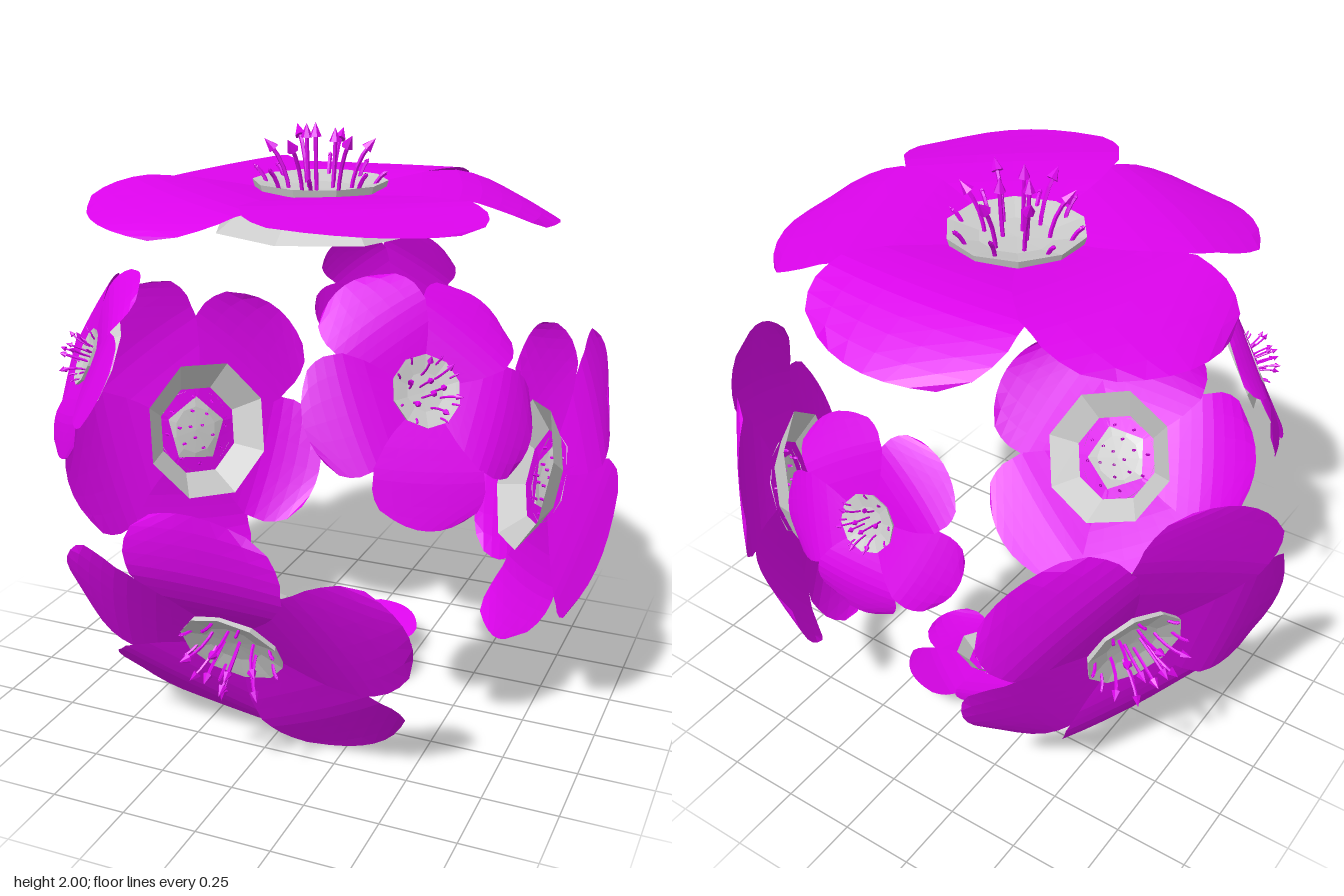
import * as THREE from 'three';

const magenta = new THREE.MeshStandardMaterial({ color: 0xdd04ec, flatShading: true, side: THREE.DoubleSide });
const grey = new THREE.MeshStandardMaterial({ color: 0xcccccc, flatShading: true, side: THREE.DoubleSide });

function mesh(name, geometry, material) {
  const m = new THREE.Mesh(geometry, material);
  m.name = name;
  return m;
}

// piecewise-linear lookup through a few [t, value] points
function sample(points, t) {
  for (let i = 1; i < points.length; i++) {
    const [a, va] = points[i - 1], [b, vb] = points[i];
    if (t <= b) return va + (vb - va) * (t - a) / (b - a);
  }
  return points[points.length - 1][1];
}

const WIDTH = [[0, 0.32], [0.25, 0.72], [0.5, 0.97], [0.7, 1], [0.85, 0.94], [0.95, 0.8], [1, 0.62]];
const ARCH = [[0, 0], [0.3, 0.025], [0.55, 0.035], [0.75, 0.02], [1, 0]];

// a broad blunt petal pointing to -z, arched along its length and drooping at the tip
function petalGeometry(length, halfWidth, droop) {
  const g = new THREE.PlaneGeometry(1, 1, 6, 10);
  const p = g.attributes.position;
  for (let i = 0; i < p.count; i++) {
    const u = p.getX(i) * 2, v = p.getY(i) + 0.5;
    const r = 0.14 + (length - 0.14) * v - 0.06 * u * u * v * v;
    const y = sample(ARCH, v) - droop * v ** 3 + 0.015 * u * v;
    p.setXYZ(i, u * halfWidth * sample(WIDTH, v), y, -r);
  }
  g.computeVertexNormals();
  return g;
}

// length, half width and tip droop of the five petals
const PETALS = [
  [0.75, 0.34, 0.1], [0.78, 0.345, 0.09], [0.78, 0.36, 0.04], [0.82, 0.365, 0], [0.78, 0.345, 0.09],
];
const petalGeometries = PETALS.map((p) => petalGeometry(...p));

// one curved stamen with a pointed head, leaning outward along +x
function stamen(r0, r1, height, headScale) {
  const g = new THREE.Group();
  g.name = 'stamen';
  const root = new THREE.Vector3(r0, -0.025, 0);
  const bend = new THREE.Vector3(r0 + 0.01, height * 0.55, 0);
  const top = new THREE.Vector3(r1, height, 0);
  const curve = new THREE.QuadraticBezierCurve3(root, bend, top);
  g.add(mesh('filament', new THREE.TubeGeometry(curve, 4, 0.007, 5), magenta));
  const head = mesh('anther', new THREE.ConeGeometry(0.02, 0.045, 6), magenta);
  head.position.copy(top);
  head.scale.setScalar(headScale);
  head.quaternion.setFromUnitVectors(new THREE.Vector3(0, 1, 0), curve.getTangent(1));
  g.add(head);
  return g;
}

// rings of stamens: count, root radius, head radius, height, head scale
const STAMENS = [
  [8, 0.17, 0.215, 0.06, 0.4],
  [6, 0.1, 0.165, 0.15, 1],
  [3, 0.04, 0.05, 0.175, 1],
];

// shallow bowl in the middle, with a raised rim
const BOWL = [[0, 0], [0.12, 0.005], [0.2, 0.025], [0.222, 0.03], [0.215, 0.005]]
  .map(([r, y]) => new THREE.Vector2(r, y));

// a whole flower facing +y
function flower() {
  const g = new THREE.Group();
  petalGeometries.forEach((geometry, i) => {
    const petal = mesh('petal', geometry, magenta);
    petal.rotation.y = i * Math.PI * 2 / 5;
    g.add(petal);
  });

  // flared open collar behind the petals
  const collar = mesh('collar', new THREE.CylinderGeometry(0.23, 0.36, 0.1, 8, 1, true), grey);
  collar.position.y = -0.07;
  g.add(collar);

  g.add(mesh('disc', new THREE.LatheGeometry(BOWL, 10), grey));

  for (const [count, r0, r1, height, headScale] of STAMENS) {
    for (let i = 0; i < count; i++) {
      const s = stamen(r0, r1, height + 0.012 * (i % 3 - 1), headScale);
      s.position.y = 0.01;
      s.rotation.y = (i + 0.3 + 0.15 * (i % 2)) * Math.PI * 2 / count;
      g.add(s);
    }
  }
  return g;
}

// name, direction from the ball's centre, distance from it, scale
const FLOWERS = [
  ['topFlower', [0, 1, 0], 0.84, 1],
  ['frontFlower', [0, -0.445, 0.7], 0.84, 0.76],
  ['leftBackFlower', [0.7, -0.2, -0.4], 0.83, 0.76],
  ['rightBackFlower', [-0.71, -0.21, -0.4], 0.83, 0.76],
  ['leftFrontFlower', [0.525, 0.37, 0.51], 0.84, 0.49],
  ['rightFrontFlower', [-0.595, 0.33, 0.47], 0.85, 0.43],
  ['backFlower', [-0.055, 0.27, -0.83], 0.88, 0.41],
  ['bottomFlower', [0, -0.83, -0.15], 0.875, 0.385],
];

export function createModel() {
  const model = new THREE.Group();
  model.name = 'flowerBall';
  const up = new THREE.Vector3(0, 1, 0);
  for (const [name, dir, distance, scale] of FLOWERS) {
    const n = new THREE.Vector3(...dir).normalize();
    const f = flower();
    f.name = name;
    f.scale.setScalar(scale);
    f.quaternion.setFromUnitVectors(up, n);
    f.position.copy(n).multiplyScalar(distance);
    f.position.y += 0.95;
    model.add(f);
  }
  // small sideways shift of the crowning flower
  model.getObjectByName('topFlower').position.set(-0.02, 1.79, -0.03);
  return model;
}
